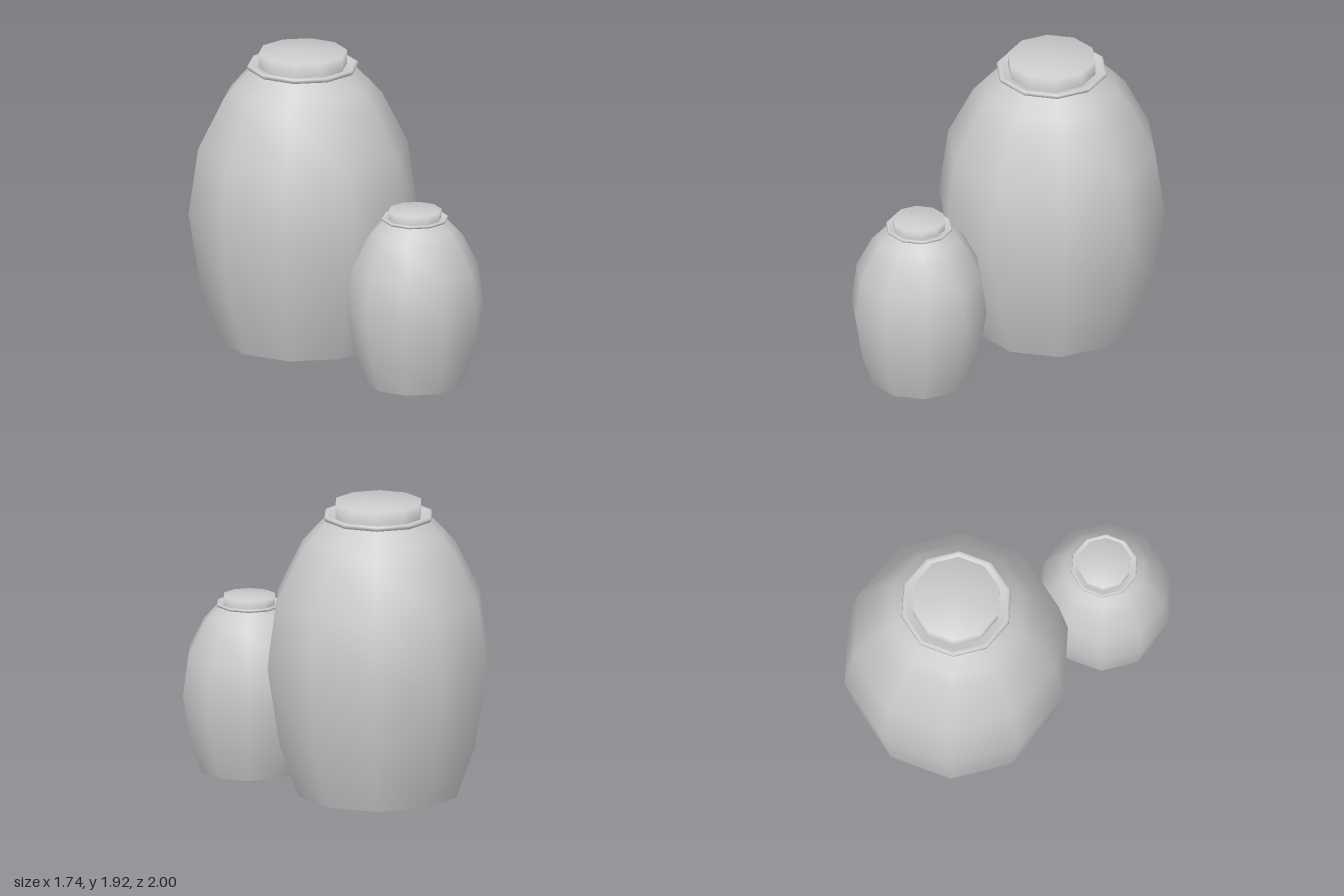
import * as THREE from 'three';

const SIDES = 10;
const material = new THREE.MeshStandardMaterial({ color: 0xcccccc });

// Ten-sided smooth turned shape with corners on the x axis
function turned(name, profile) {
  const points = profile.map(([r, y]) => new THREE.Vector2(r, y));
  const mesh = new THREE.Mesh(new THREE.LatheGeometry(points, SIDES, Math.PI / 2), material);
  mesh.name = name;
  return mesh;
}

function createJar(name) {
  const jar = new THREE.Group();
  jar.name = name;

  // Bulging wall and shoulder
  jar.add(turned('body', [
    [0.52, 0], [0.645, 0.345], [0.725, 0.84], [0.665, 1.265],
    [0.505, 1.585], [0.43, 1.67], [0.335, 1.77],
  ]));

  // Thin lip around the mouth, dipping in towards the lid
  jar.add(turned('lip', [
    [0.325, 1.77], [0.342, 1.772], [0.355, 1.785], [0.352, 1.798],
    [0.34, 1.806], [0.325, 1.803], [0.275, 1.785],
  ]));

  // Short lid
  jar.add(turned('lid', [[0.28, 1.77], [0.28, 1.88], [0, 1.88]]));

  // Flat underside
  const base = new THREE.Mesh(new THREE.CircleGeometry(0.52, SIDES), material);
  base.name = 'base';
  base.rotation.x = Math.PI / 2;
  jar.add(base);
  return jar;
}

export function createModel() {
  const model = new THREE.Group();
  model.name = 'jars';

  const large = createJar('largeJar');
  large.position.set(-0.145, 0.037, -0.312);

  const small = createJar('smallJar');
  small.scale.setScalar(0.6);
  small.position.set(0.435, 0, 0.586);

  model.add(large, small);
  return model;
}
